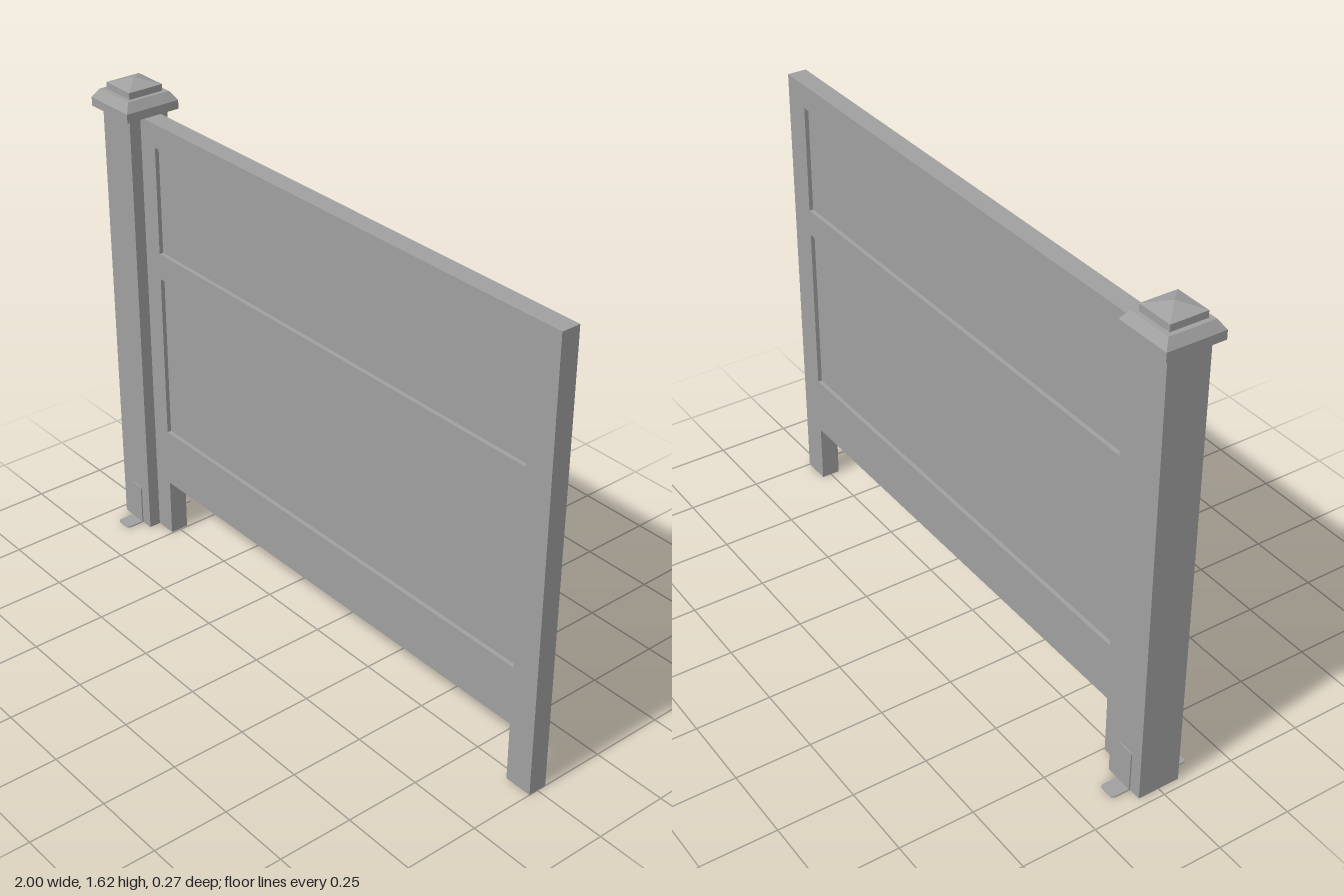
import * as THREE from 'three';

const grey = new THREE.MeshStandardMaterial({ color: 0xa0a0a0 });
grey.name = 'painted grey';

const POST_X = -0.9;

function add(parent, name, geometry, x = 0, y = 0, z = 0) {
  const mesh = new THREE.Mesh(geometry, grey);
  mesh.name = name;
  mesh.position.set(x, y, z);
  parent.add(mesh);
  return mesh;
}

// Square frustum given by half widths, with flat faces
function squareTier(bottom, top, height) {
  const g = new THREE.CylinderGeometry(top * Math.SQRT2, bottom * Math.SQRT2, height, 4)
    .rotateY(Math.PI / 4).translate(0, height / 2, 0).toNonIndexed();
  g.computeVertexNormals();
  return g;
}

function rectPath(x0, y0, x1, y1) {
  const p = new THREE.Path();
  p.moveTo(x0, y0);
  p.lineTo(x0, y1);
  p.lineTo(x1, y1);
  p.lineTo(x1, y0);
  p.closePath();
  return p;
}

// Thin plate with two rounded corners at its far end
function bracketPlate(width, length, radius, thickness) {
  const w = width / 2;
  const s = new THREE.Shape();
  s.moveTo(-w, 0);
  s.lineTo(w, 0);
  s.lineTo(w, length - radius);
  s.quadraticCurveTo(w, length, w - radius, length);
  s.lineTo(-w + radius, length);
  s.quadraticCurveTo(-w, length, -w, length - radius);
  s.closePath();
  return new THREE.ExtrudeGeometry(s, { depth: thickness, bevelEnabled: false, curveSegments: 4 });
}

export function createModel() {
  const model = new THREE.Group();
  model.name = 'fencePanel';

  // Post
  add(model, 'post', new THREE.BoxGeometry(0.144, 1.52, 0.144), POST_X, 0.76, 0);

  // Stepped post cap: [bottom half width, top half width, base y, top y]
  const cap = new THREE.Group();
  cap.name = 'postCap';
  cap.position.x = POST_X;
  model.add(cap);
  const tiers = [
    ['capBase', 0.097, 0.097, 1.517, 1.546],
    ['capSlope', 0.097, 0.077, 1.546, 1.575],
    ['capBlock', 0.062, 0.062, 1.575, 1.597],
    ['capPyramid', 0.062, 0, 1.597, 1.617],
  ];
  for (const [name, bottom, top, y0, y1] of tiers) {
    add(cap, name, squareTier(bottom, top, y1 - y0), 0, y0, 0);
  }

  // Frame with two legs and two openings
  const left = -0.755, right = 0.905;
  const frame = new THREE.Shape();
  frame.moveTo(-0.84, 0);
  frame.lineTo(left, 0);
  frame.lineTo(left, 0.203);
  frame.lineTo(right, 0.203);
  frame.lineTo(right, 0);
  frame.lineTo(1, 0);
  frame.lineTo(1, 1.515);
  frame.lineTo(-0.84, 1.515);
  frame.closePath();
  const openings = [[0.405, 0.98], [1.07, 1.435]];
  for (const [y0, y1] of openings) frame.holes.push(rectPath(left, y0, right, y1));
  add(model, 'frame', new THREE.ExtrudeGeometry(frame, { depth: 0.064, bevelEnabled: false }), 0, 0, -0.032);

  // Recessed infill boards
  for (const [y0, y1] of openings) {
    add(model, 'infillBoard', new THREE.BoxGeometry(right - left, y1 - y0, 0.036),
      (left + right) / 2, (y0 + y1) / 2, 0);
  }

  // Angle brackets at the front and back of the post foot
  for (const turn of [0, Math.PI]) {
    const bracket = new THREE.Group();
    bracket.name = turn ? 'backBracket' : 'frontBracket';
    bracket.position.x = POST_X;
    bracket.rotation.y = turn;
    add(bracket, 'bracketUpright', bracketPlate(0.06, 0.145, 0.012, 0.004), 0, 0, 0.072);
    add(bracket, 'bracketFoot', bracketPlate(0.06, 0.064, 0.012, 0.004).rotateX(Math.PI / 2), 0, 0.004, 0.072);
    model.add(bracket);
  }

  return model;
}
